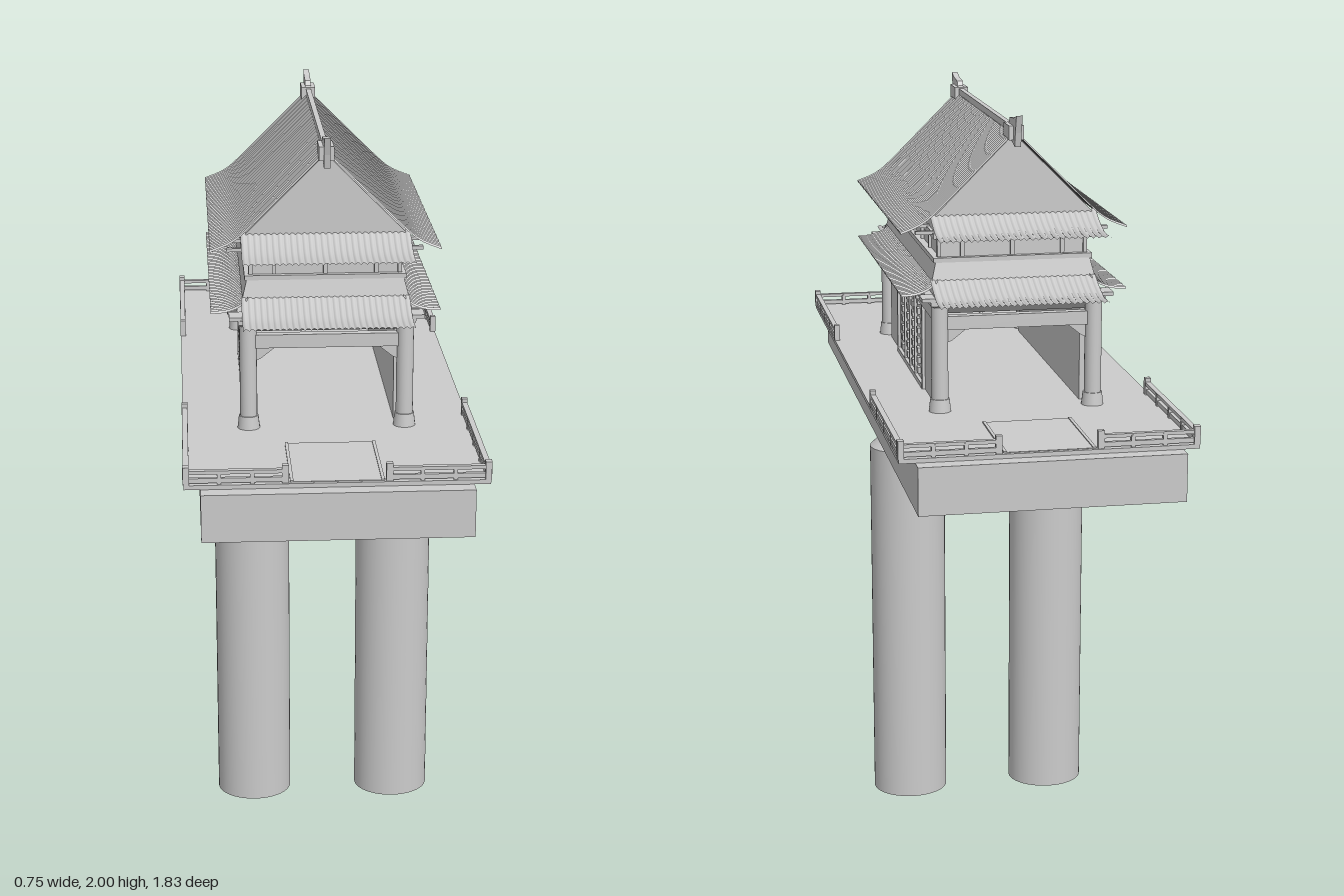
import * as THREE from 'three';

const grey = new THREE.MeshStandardMaterial({ color: 0xcccccc });
const sheetGrey = new THREE.MeshStandardMaterial({ color: 0xcccccc, side: THREE.DoubleSide });

function add(parent, name, geo, x = 0, y = 0, z = 0, mat = grey) {
  const m = new THREE.Mesh(geo, mat);
  m.name = name;
  m.position.set(x, y, z);
  parent.add(m);
  return m;
}

// Box given by its half width, bottom, top and half depth, optionally tapering to another top size
function block(parent, name, hx, y0, y1, hz, topX = hx, topZ = hz) {
  const g = new THREE.BoxGeometry(2, y1 - y0, 2);
  const p = g.attributes.position;
  for (let i = 0; i < p.count; i++) {
    const top = p.getY(i) > 0;
    p.setX(i, p.getX(i) * (top ? topX : hx));
    p.setZ(i, p.getZ(i) * (top ? topZ : hz));
  }
  g.computeVertexNormals();
  return add(parent, name, g, 0, (y0 + y1) / 2, 0);
}

// Rippled tile sheet: profile is a list of [distance outwards, height], running along z
function tileSheet(parent, name, profile, length, z = 0, angle = 0) {
  const curve = new THREE.SplineCurve(profile.map(p => new THREE.Vector2(...p)));
  const tiles = Math.round(length / 0.0152), rows = 14;
  const g = new THREE.PlaneGeometry(1, 1, rows, tiles * 6).rotateX(-Math.PI / 2);
  const p = g.attributes.position;
  for (let i = 0; i < p.count; i++) {
    const c = curve.getPoint(p.getX(i) + 0.5);
    const v = p.getZ(i) + 0.5;
    const ripple = 0.005 * Math.abs(Math.sin(v * tiles * Math.PI));
    p.setXYZ(i, c.x, c.y + ripple, (v - 0.5) * length + z);
  }
  g.computeVertexNormals();
  add(parent, name, g, 0, 0, 0, sheetGrey).rotation.y = angle;
}

// Balustrade along x, centred on its own origin
function balustrade(length, posts) {
  const r = new THREE.Group();
  r.name = 'balustrade';
  add(r, 'topRail', new THREE.BoxGeometry(length, 0.009, 0.014), 0, 0.031, 0);
  add(r, 'lowerRail', new THREE.BoxGeometry(length, 0.012, 0.01), 0, 0.01, 0);
  for (let i = 0; i < posts; i++) {
    const x = (i / (posts - 1) - 0.5) * (length - 0.016);
    const end = i === 0 || i === posts - 1;
    add(r, 'post', new THREE.BoxGeometry(end ? 0.016 : 0.01, end ? 0.046 : 0.032, 0.015), x, end ? 0.023 : 0.016, 0);
  }
  return r;
}

export function createModel() {
  const model = new THREE.Group();
  model.name = 'pavilionOnPillars';

  // Two round pillars with narrower necks
  const pillar = [[0, 0], [0.104, 0], [0.104, 0], [0.104, 1.025], [0.104, 1.025], [0.076, 1.05],
    [0.076, 1.05], [0.076, 1.116]].map(p => new THREE.Vector2(...p));
  for (const x of [-0.182, 0.214])
    add(model, 'pillar', new THREE.LatheGeometry(pillar, 40), x, 0, 0.03).scale.z = 0.91;

  // Platform slab and overhanging deck
  block(model, 'slab', 0.33, 1.115, 1.236, 0.915);
  block(model, 'deck', 0.37, 1.236, 1.247, 0.875);

  // Low frames set in the deck in front of both entrances
  for (const s of [1, -1]) {
    const frame = new THREE.Group();
    frame.name = 'deckPanel';
    add(frame, 'panel', new THREE.BoxGeometry(0.22, 0.003, 0.28), 0, 1.247, s * 0.725);
    for (const e of [1, -1])
      add(frame, 'panelEdge', new THREE.BoxGeometry(0.008, 0.006, 0.28), e * 0.11, 1.248, s * 0.725);
    model.add(frame);
  }

  // Balustrades around the four corners
  for (const sx of [1, -1]) for (const sz of [1, -1]) {
    const side = balustrade(0.5, 5);
    side.position.set(sx * 0.364, 1.246, sz * 0.625);
    side.rotation.y = Math.PI / 2;
    const end = balustrade(0.255, 4);
    end.position.set(sx * 0.245, 1.246, sz * 0.863);
    model.add(side, end);
  }

  // Corner columns on round bases
  for (const x of [0.2, -0.2]) for (const z of [0.45, -0.45]) {
    add(model, 'column', new THREE.CylinderGeometry(0.022, 0.022, 0.275, 20), x, 1.383, z);
    add(model, 'columnBase', new THREE.CylinderGeometry(0.025, 0.029, 0.035, 20), x, 1.263, z);
  }

  // Side walls with stacked lattice doors
  for (const s of [1, -1]) {
    add(model, 'sideWall', new THREE.BoxGeometry(0.026, 0.27, 0.8), s * 0.189, 1.378, 0);
    add(model, 'doorSill', new THREE.BoxGeometry(0.01, 0.012, 0.44), s * 0.206, 1.253, 0);
    for (const z of [-0.22, -0.09, 0, 0.09, 0.22])
      add(model, 'doorPost', new THREE.BoxGeometry(0.01, 0.25, 0.01), s * 0.205, 1.37, z);
    for (const z of [-0.137, -0.045, 0.045, 0.137]) for (let i = 0; i < 8; i++)
      add(model, 'latticeBar', new THREE.BoxGeometry(0.01, 0.016, 0.026), s * 0.205, 1.28 + i * 0.027, z);
  }

  // Lintels and corner braces over both entrances
  const brace = new THREE.Shape([[0, 0], [0, -0.035], [-0.012, -0.03], [-0.05, 0]].map(p => new THREE.Vector2(...p)));
  for (const z of [0.45, -0.45]) {
    add(model, 'lintel', new THREE.BoxGeometry(0.38, 0.035, 0.024), 0, 1.478, z);
    for (const s of [1, -1]) {
      const g = new THREE.ExtrudeGeometry(brace, { depth: 0.012, bevelEnabled: false }).translate(0, 0, -0.006);
      add(model, 'brace', g, s * 0.18, 1.462, z).rotation.y = s > 0 ? 0 : Math.PI;
    }
  }
  for (const s of [1, -1])
    add(model, 'sideBeam', new THREE.BoxGeometry(0.024, 0.03, 0.9), s * 0.2, 1.492, 0);

  // Ceiling and tapered storeys up to the roof
  block(model, 'ceiling', 0.195, 1.497, 1.525, 0.43, 0.222, 0.475);
  block(model, 'lowerCornice', 0.225, 1.525, 1.536, 0.475);
  block(model, 'lowerRoofCore', 0.205, 1.536, 1.577, 0.405);
  block(model, 'middleBand', 0.212, 1.577, 1.625, 0.408, 0.2, 0.398);
  block(model, 'ledge', 0.206, 1.622, 1.634, 0.4);
  block(model, 'upperWall', 0.188, 1.634, 1.685, 0.385);
  block(model, 'upperCornice', 0.206, 1.683, 1.697, 0.4);
  block(model, 'upperRoofCore', 0.198, 1.697, 1.745, 0.395);

  // Posts framing the panels of the upper wall
  for (const s of [1, -1]) {
    for (const x of [-0.19, -0.13, 0, 0.13, 0.19])
      add(model, 'wallPost', new THREE.BoxGeometry(0.01, 0.05, 0.012), x, 1.66, s * 0.386);
    for (let i = 0; i < 7; i++)
      add(model, 'wallPost', new THREE.BoxGeometry(0.012, 0.05, 0.01), s * 0.19, 1.66, (i / 3 - 1) * 0.38);
  }

  // Rafter ends under both eaves
  for (const y of [1.697, 1.532]) for (const s of [1, -1]) {
    for (let i = 0; i < 9; i++)
      add(model, 'rafter', new THREE.BoxGeometry(0.06, 0.009, 0.012), s * 0.22, y, (i / 4 - 1) * 0.38);
    for (let i = 0; i < 5; i++)
      add(model, 'rafter', new THREE.BoxGeometry(0.012, 0.009, 0.07), (i / 2 - 1) * 0.18, y, s * 0.435);
  }

  // Tiled roof: main slopes, lower side eaves, and end eaves on both levels
  const mainSlope = [[0, 1.952], [0.1, 1.853], [0.2, 1.755], [0.242, 1.722], [0.293, 1.701]];
  const lowerSide = [[0.198, 1.577], [0.222, 1.556], [0.255, 1.544], [0.293, 1.541]];
  const upperEnd = [[0.4, 1.745], [0.45, 1.721], [0.505, 1.706], [0.572, 1.704]];
  const lowerEnd = [[0.4, 1.578], [0.45, 1.556], [0.505, 1.54], [0.576, 1.539]];
  for (const a of [0, Math.PI]) {
    tileSheet(model, 'mainRoof', mainSlope, 0.84, 0, a);
    tileSheet(model, 'lowerSideEave', lowerSide, 0.84, 0, a);
    tileSheet(model, 'upperEndEave', upperEnd, 0.43, 0, a + Math.PI / 2);
    tileSheet(model, 'lowerEndEave', lowerEnd, 0.43, 0, a + Math.PI / 2);
  }

  // Up-turned corner tips of the lower cornice
  for (const x of [1, -1]) for (const z of [1, -1])
    add(model, 'cornerTip', new THREE.BoxGeometry(0.035, 0.01, 0.055), x * 0.23, 1.54, z * 0.445);

  // Solid gable filling the space below the main slopes
  const gable = new THREE.Shape([[-0.205, 1.742], [0.205, 1.742], [0, 1.947]].map(p => new THREE.Vector2(...p)));
  add(model, 'gable', new THREE.ExtrudeGeometry(gable, { depth: 0.816, bevelEnabled: false }), 0, 0, -0.408);

  // Ridge with a finned ornament at each end
  add(model, 'ridge', new THREE.BoxGeometry(0.014, 0.022, 0.8), 0, 1.955, 0);
  const fin = new THREE.Shape([[0.36, 1.935], [0.41, 1.93], [0.455, 1.92], [0.462, 1.955], [0.475, 2],
    [0.44, 1.99], [0.385, 1.985], [0.38, 1.972], [0.36, 1.97]].map(p => new THREE.Vector2(...p)));
  for (const s of [1, -1]) {
    const g = new THREE.ExtrudeGeometry(fin, { depth: 0.016, bevelEnabled: false }).translate(0, 0, -0.008);
    add(model, 'ridgeFin', g).rotation.y = -s * Math.PI / 2;
    add(model, 'ridgeBlock', new THREE.BoxGeometry(0.038, 0.036, 0.075), 0, 1.952, s * 0.398);
  }

  return model;
}
